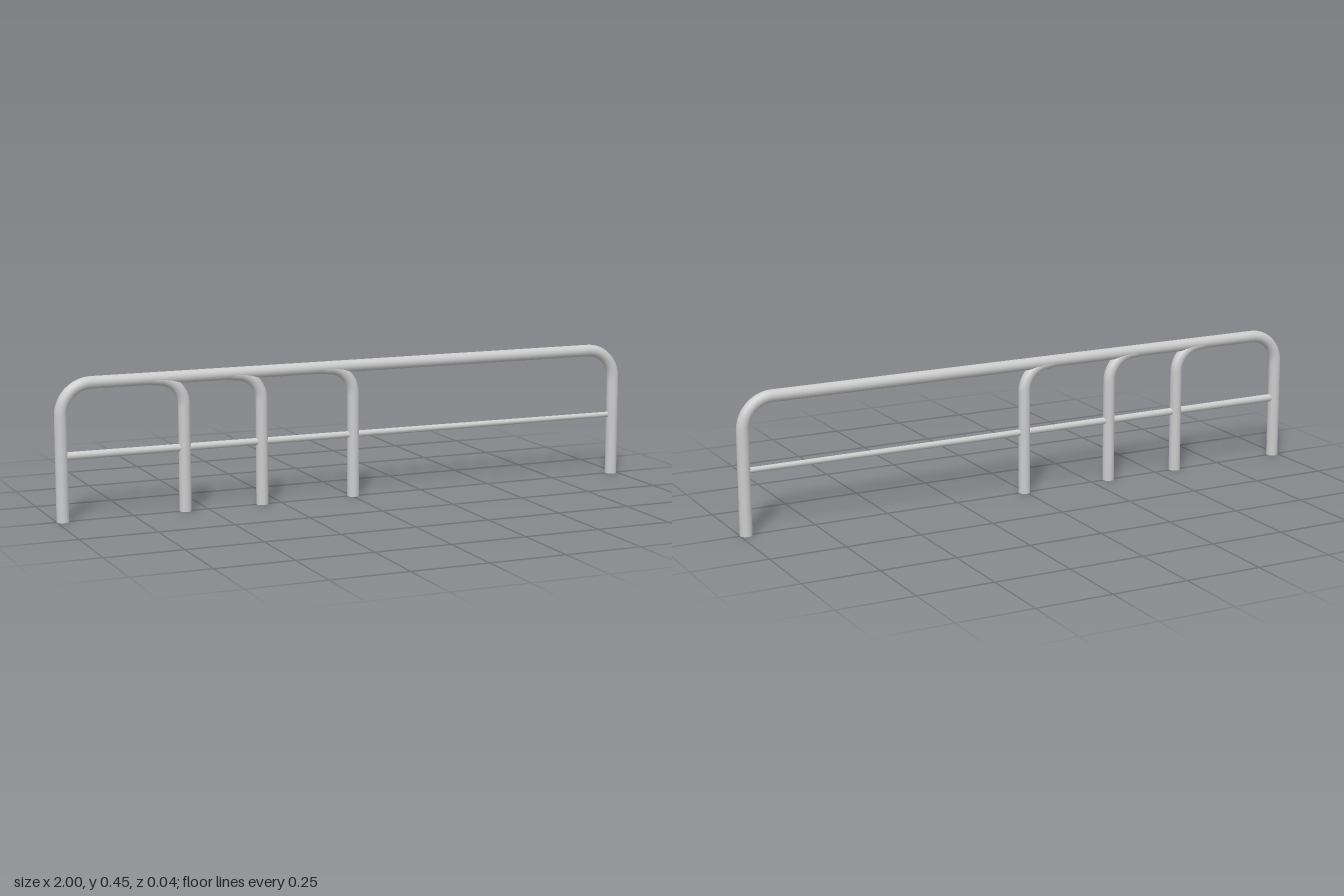
import * as THREE from 'three';

const material = new THREE.MeshStandardMaterial({ color: 0xcccccc });
const TOP = 0.434, BEND = 0.1, SIDES = 16;
const v = (x, y) => new THREE.Vector3(x, y, 0);

// Quarter-circle bend from a to b around the given corner
function bend(a, corner, b) {
  const k = 0.5523;
  return new THREE.CubicBezierCurve3(a, a.clone().lerp(corner, k), b.clone().lerp(corner, k), b);
}

function addMesh(group, name, geometry) {
  const mesh = new THREE.Mesh(geometry, material);
  mesh.name = name;
  group.add(mesh);
  return mesh;
}

function addPipe(group, name, curves, radius, segments) {
  const path = new THREE.CurvePath();
  curves.forEach((c) => path.add(c));
  return addMesh(group, name, new THREE.TubeGeometry(path, segments, radius, SIDES));
}

// Flat disc closing the foot of a post
function addFoot(group, x, radius) {
  const foot = addMesh(group, 'postFoot', new THREE.CircleGeometry(radius, SIDES));
  foot.rotation.x = Math.PI / 2;
  foot.position.x = x;
}

export function createModel() {
  const model = new THREE.Group();
  model.name = 'handrail';

  // Outer frame: two end posts and the top rail in one bent pipe
  const X = 0.98, R = 0.02;
  addPipe(model, 'outerFrame', [
    new THREE.LineCurve3(v(-X, 0), v(-X, TOP - BEND)),
    bend(v(-X, TOP - BEND), v(-X, TOP), v(-X + BEND, TOP)),
    new THREE.LineCurve3(v(-X + BEND, TOP), v(X - BEND, TOP)),
    bend(v(X - BEND, TOP), v(X, TOP), v(X, TOP - BEND)),
    new THREE.LineCurve3(v(X, TOP - BEND), v(X, 0)),
  ], R, 180);
  addFoot(model, -X, R);
  addFoot(model, X, R);

  // Inner posts, each curving toward -x into the top rail
  const innerTop = TOP - 0.004, r = 0.088;
  for (const x of [-0.577, -0.315, 0.005]) {
    const post = new THREE.Group();
    post.name = 'innerPost';
    addPipe(post, 'postPipe', [
      new THREE.LineCurve3(v(x, 0), v(x, innerTop - r)),
      bend(v(x, innerTop - r), v(x, innerTop), v(x - r, innerTop)),
      new THREE.LineCurve3(v(x - r, innerTop), v(x - r - 0.03, TOP)),
    ], 0.0195, 48);
    addFoot(post, x, 0.0195);
    model.add(post);
  }

  // Middle rail, slightly thinner toward +x
  const rail = addMesh(model, 'middleRail', new THREE.CylinderGeometry(0.013, 0.009, 2 * X, SIDES));
  rail.rotation.z = Math.PI / 2;
  rail.position.y = 0.207;

  return model;
}
